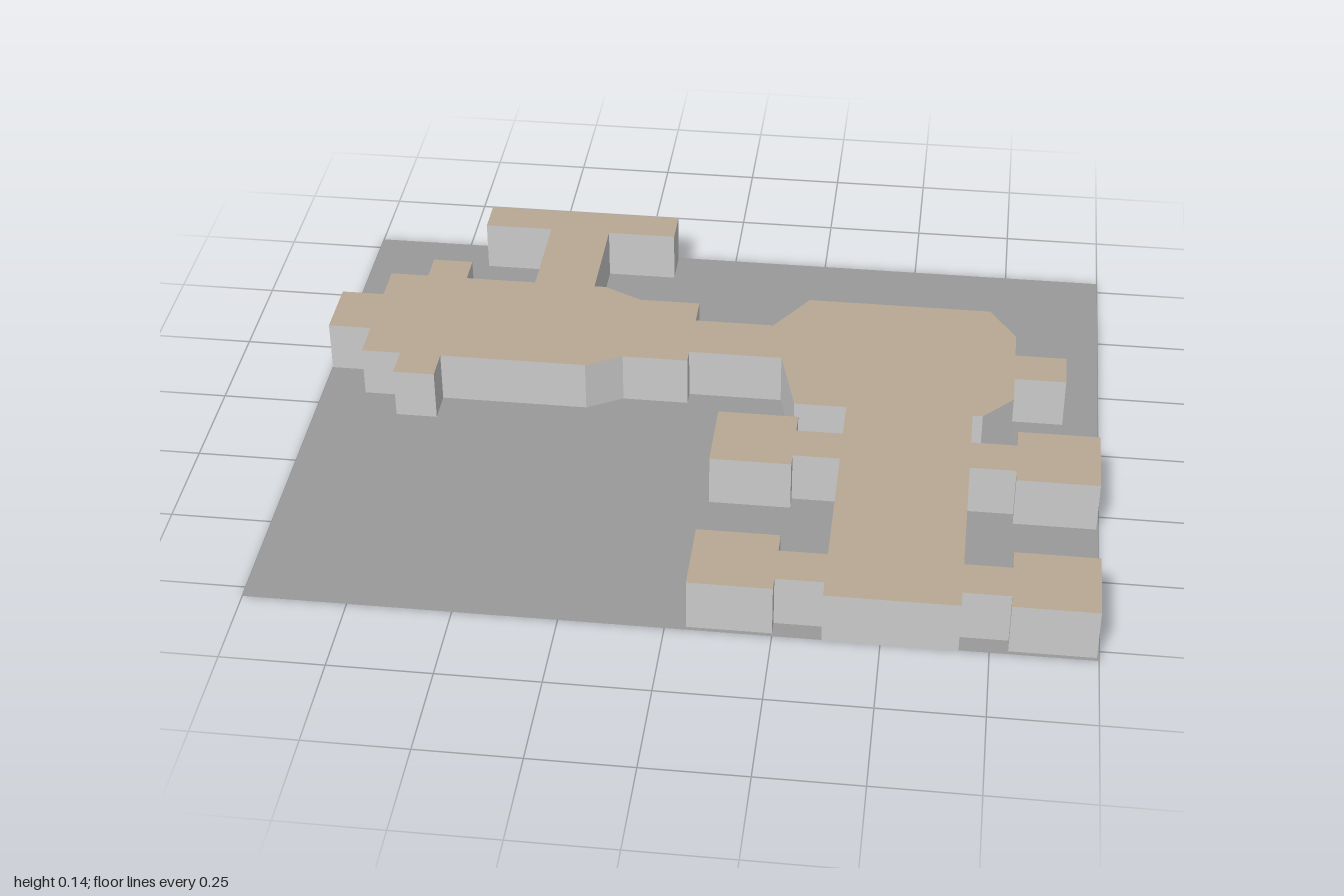
import * as THREE from 'three';

const HEIGHT = 0.135;

export function createModel() {
  const group = new THREE.Group();
  const slab = new THREE.MeshStandardMaterial({ name: 'tan floor and roof', color: 0xb8a993 });
  const wall = new THREE.MeshStandardMaterial({ name: 'light grey wall', color: 0xcccccc });
  const ground = new THREE.MeshStandardMaterial({ name: 'grey ground', color: 0x999999, side: THREE.DoubleSide });

  // Extrudes a plan outline of [x, z] corners: tan caps, grey walls
  function room(name, corners) {
    const shape = new THREE.Shape(corners.map(([x, z]) => new THREE.Vector2(x, -z)));
    const geometry = new THREE.ExtrudeGeometry(shape, { depth: HEIGHT, bevelEnabled: false });
    geometry.rotateX(-Math.PI / 2);
    const mesh = new THREE.Mesh(geometry, [slab, wall]);
    mesh.name = name;
    group.add(mesh);
  }
  const block = (name, x0, x1, z0, z1) => room(name, [[x0, z0], [x0, z1], [x1, z1], [x1, z0]]);

  // Ground sheet, just above the room floors
  const plate = new THREE.Mesh(new THREE.PlaneGeometry(2, 1.575), ground);
  plate.name = 'groundSheet';
  plate.rotation.x = -Math.PI / 2;
  plate.position.set(0, 0.002, -0.0025);
  group.add(plate);

  // Back cross hall and its passage
  block('backHall', -0.68, -0.16, -0.785, -0.688);
  block('backPassage', -0.5, -0.34, -0.688, -0.42);

  // West hall with chamfered end, alcoves and entrance
  room('westHall', [
    [-0.89, -0.42], [-0.31, -0.42], [-0.21, -0.37], [-0.053, -0.37],
    [-0.053, -0.105], [-0.22, -0.105], [-0.31, -0.055], [-0.89, -0.055],
  ]);
  block('westEntrance', -1, -0.89, -0.318, -0.157);
  block('backAlcove', -0.79, -0.685, -0.5, -0.42);
  block('frontAlcove', -0.79, -0.685, -0.055, 0.03);

  // East hall with the connecting corridor
  room('eastHall', [
    [-0.053, -0.29], [0.15, -0.29], [0.235, -0.42], [0.71, -0.42], [0.78, -0.31],
    [0.78, -0.03], [0.705, 0.05], [0.235, 0.05], [0.185, -0.145], [-0.053, -0.145],
  ]);
  block('eastAlcove', 0.78, 0.91, -0.225, -0.12);

  // Long front hall with two pairs of side chambers
  block('frontHall', 0.365, 0.68, 0.05, 0.785);
  for (const z of [0.105, 0.578]) {
    block('rightDoorway', 0.25, 0.365, z + 0.057, z + 0.16);
    block('rightChamber', 0.05, 0.25, z, z + 0.197);
    block('leftDoorway', 0.68, 0.793, z + 0.057, z + 0.16);
    block('leftChamber', 0.793, 0.995, z, z + 0.197);
  }
  return group;
}
